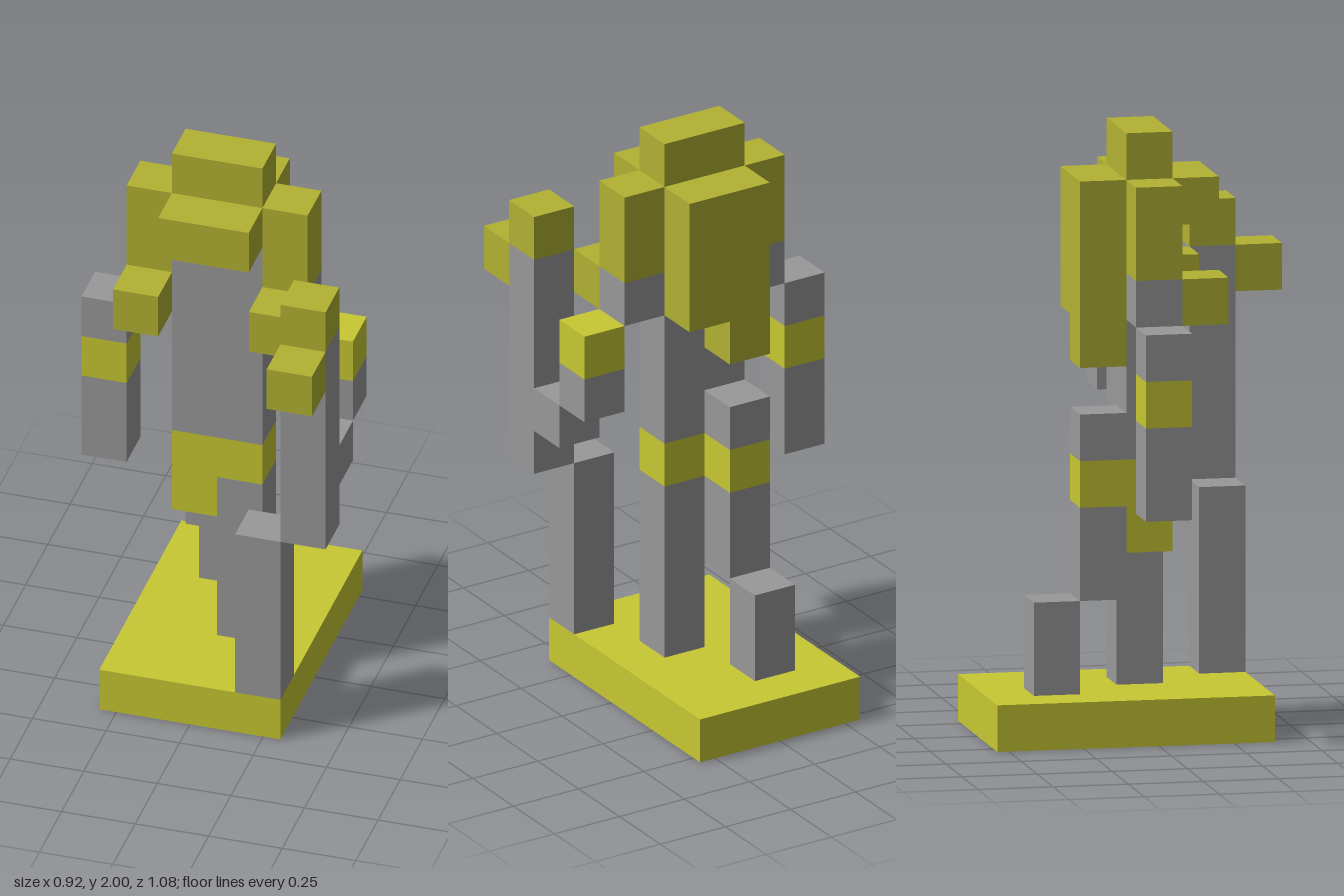
import * as THREE from 'three';

const U = 2 / 13; // edge of one block

function material(name, color) {
  const m = new THREE.MeshStandardMaterial({ color });
  m.name = name;
  return m;
}

export function createModel() {
  const model = new THREE.Group();
  model.name = 'blockFigure';
  const bright = material('brightYellow', 0xc8c833);
  const dark = material('darkYellow', 0xb2b233);
  const grey = material('grey', 0x999999);

  const part = (name) => {
    const g = new THREE.Group();
    g.name = name;
    model.add(g);
    return g;
  };
  // Box given by its x, y and z ranges in block units
  const block = (parent, name, mat, [x0, x1], [y0, y1], [z0, z1]) => {
    const geo = new THREE.BoxGeometry((x1 - x0) * U, (y1 - y0) * U, (z1 - z0) * U);
    const mesh = new THREE.Mesh(geo, mat);
    mesh.name = name;
    mesh.position.set((x0 + x1) / 2 * U, (y0 + y1) / 2 * U, (z0 + z1) / 2 * U);
    parent.add(mesh);
  };
  // One-block-deep layer centred on z = k
  const layer = (k) => [k - 0.5, k + 0.5];

  // Plinth
  block(model, 'base', bright, [-2, 2], [0, 1], [-3.5, 2.5]);

  // Body with belt
  const body = part('body');
  block(body, 'torso', grey, [-1, 1], [6, 11], layer(0));
  block(body, 'belt', bright, [-1, 1], [5, 6], layer(0));
  block(body, 'beltFlap', bright, [-1, 0], [4, 5], layer(0));

  // Head covering, front brim and the long piece down the back
  const head = part('head');
  block(head, 'crown', dark, [-1, 1], [11, 13], layer(0));
  block(head, 'brim', dark, [-1, 1], [11, 12], layer(1));
  block(head, 'backPiece', dark, [-1, 1], [9, 12], layer(-1));
  block(head, 'backPieceTip', dark, [-1, 0], [8, 9], layer(-1));

  // Shoulders, mirrored
  for (const s of [-1, 1]) {
    const shoulder = part(s > 0 ? 'leftShoulder' : 'rightShoulder');
    const x = s > 0 ? [1, 2] : [-2, -1];
    block(shoulder, 'shoulderPad', dark, x, [10, 12], layer(0));
    block(shoulder, 'shoulderUnderside', grey, x, [9, 10], layer(0));
    block(shoulder, 'shoulderFront', dark, x, [9, 10], layer(1));
  }

  // Right arm hanging down
  const rightArm = part('rightArm');
  block(rightArm, 'upperArm', grey, [-3, -2], [8, 9], layer(0));
  block(rightArm, 'armBand', bright, [-3, -2], [7, 8], layer(0));
  block(rightArm, 'forearm', grey, [-3, -2], [5, 7], layer(0));

  // Left arm stepping forward to the held staff
  const leftArm = part('leftArm');
  block(leftArm, 'armBand', bright, [2, 3], [8, 9], layer(0));
  block(leftArm, 'upperArm', grey, [2, 3], [7, 8], layer(0));
  block(leftArm, 'forearm', grey, [2, 3], [6, 7], layer(1));
  const staff = part('staff');
  block(staff, 'shaft', grey, [2, 3], [5, 10], layer(2));
  block(staff, 'staffTop', dark, [2, 3], [10, 11], layer(2));
  block(staff, 'staffTip', dark, [2, 3], [9, 10], layer(3));

  // Legs
  const leftLeg = part('leftLeg');
  block(leftLeg, 'thigh', grey, [0, 1], [1, 5], layer(0));
  block(leftLeg, 'frontShin', grey, [1, 2], [1, 5], layer(2));
  const rightLeg = part('rightLeg');
  block(rightLeg, 'upperThigh', grey, [-1, 0], [6, 7], layer(-1));
  block(rightLeg, 'legBand', bright, [-1, 0], [5, 6], layer(-1));
  block(rightLeg, 'lowerThigh', grey, [-1, 0], [3, 5], layer(-1));
  block(rightLeg, 'foot', grey, [-1, 0], [1, 3], layer(-2));

  return model;
}
